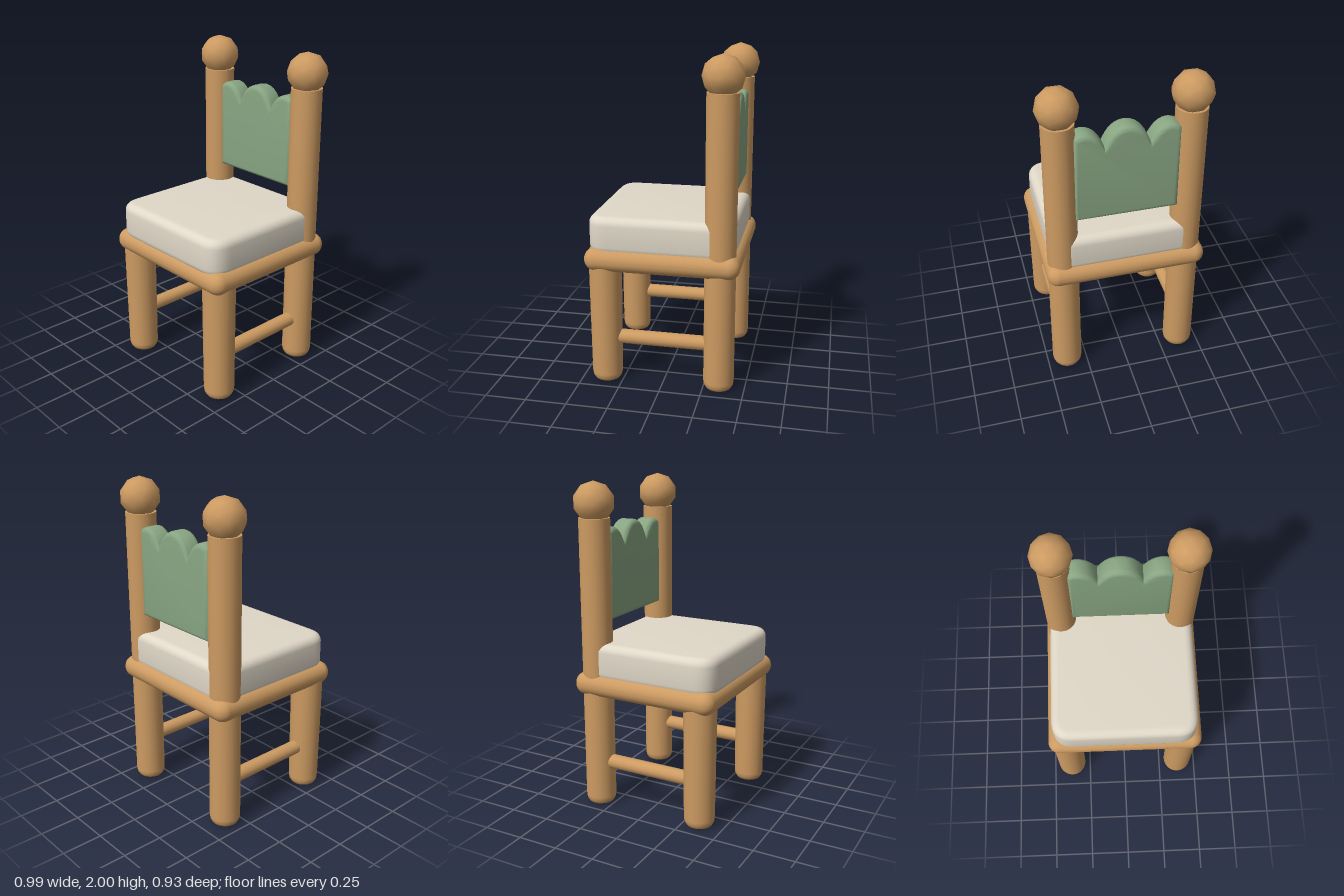
import * as THREE from 'three';
import { toCreasedNormals } from 'three/addons/utils/BufferGeometryUtils.js';
import { RoundedBoxGeometry } from 'three/addons/geometries/RoundedBoxGeometry.js';

const POST_X = 0.375, BACK_Z = -0.343, FRONT_Z = 0.35;

// Round leg with a softened foot, standing on y = 0
function legGeometry(rBottom, rTop, height) {
  const foot = [[0, 0], [0.6, 0], [0.84, 0.011], [0.96, 0.03], [1, 0.055]]
    .map(([r, y]) => new THREE.Vector2(r * rBottom, y));
  return new THREE.LatheGeometry(
    [...foot, new THREE.Vector2(rTop, height), new THREE.Vector2(rTop, height), new THREE.Vector2(0, height)], 24);
}

// Extruded shape with rounded edges that stays inside its outline
function softSlab(shape, thickness, bevel) {
  const g = new THREE.ExtrudeGeometry(shape, {
    depth: thickness - 2 * bevel, bevelThickness: bevel, bevelSize: bevel,
    bevelOffset: -bevel, bevelSegments: 5, curveSegments: 10,
  });
  g.translate(0, 0, bevel);
  return toCreasedNormals(g, 0.7);
}

function cushionShape() {
  const s = new THREE.Shape(), x = 0.45, f = -0.45, b = 0.43, r = 0.13;
  s.moveTo(-x + r, f);
  s.lineTo(x - r, f);
  s.quadraticCurveTo(x, f, x, f + r);
  s.lineTo(x, b - r);
  s.quadraticCurveTo(x, b, x - r, b);
  s.lineTo(-x + r, b);
  s.quadraticCurveTo(-x, b, -x, b - r);
  s.lineTo(-x, f + r);
  s.quadraticCurveTo(-x, f, -x + r, f);
  return s;
}

// Panel with three scallops along the top
function backShape() {
  const s = new THREE.Shape(), x = 0.305, y = 1.165;
  s.moveTo(-x, y);
  s.lineTo(x, y);
  s.lineTo(x, 1.7);
  s.bezierCurveTo(0.25, 1.75, 0.17, 1.725, 0.13, 1.63);
  s.bezierCurveTo(0.08, 1.783, -0.08, 1.783, -0.13, 1.63);
  s.bezierCurveTo(-0.17, 1.725, -0.25, 1.75, -x, 1.7);
  s.lineTo(-x, y);
  return s;
}

export function createModel() {
  const chair = new THREE.Group();
  chair.name = 'chair';
  const wood = new THREE.MeshStandardMaterial({ color: 0xcd9b62 });
  const green = new THREE.MeshStandardMaterial({ color: 0x88a582 });
  const fabric = new THREE.MeshStandardMaterial({ color: 0xe0d8c8 });

  const add = (name, geometry, material, x, y, z) => {
    const mesh = new THREE.Mesh(geometry, material);
    mesh.name = name;
    mesh.position.set(x, y, z);
    chair.add(mesh);
    return mesh;
  };

  // Seat board and cushion
  add('seatFrame', new RoundedBoxGeometry(0.97, 0.14, 0.93, 5, 0.068), wood, 0, 0.79, 0);
  const cushion = softSlab(cushionShape(), 0.23, 0.05);
  cushion.rotateX(-Math.PI / 2);
  add('cushion', cushion, fabric, 0, 0.82, 0);

  // Scalloped back panel between the posts
  add('backPanel', softSlab(backShape(), 0.125, 0.03), green, 0, 0, -0.41);

  // Legs, posts, finials and side stretchers, mirrored
  const post = legGeometry(0.093, 0.093, 1.79);
  const frontLeg = legGeometry(0.093, 0.099, 0.78);
  const finial = new THREE.IcosahedronGeometry(0.122, 1);
  const stretcher = new THREE.CylinderGeometry(0.044, 0.044, FRONT_Z - BACK_Z, 16);
  for (const [side, s] of [['left', 1], ['right', -1]]) {
    add(side + 'BackPost', post, wood, s * POST_X, 0, BACK_Z);
    add(side + 'Finial', finial, wood, s * POST_X, 1.878, BACK_Z);
    add(side + 'FrontLeg', frontLeg, wood, s * POST_X, 0, FRONT_Z);
    add(side + 'Stretcher', stretcher, wood, s * POST_X, 0.285, (FRONT_Z + BACK_Z) / 2)
      .rotation.x = Math.PI / 2;
  }
  return chair;
}
